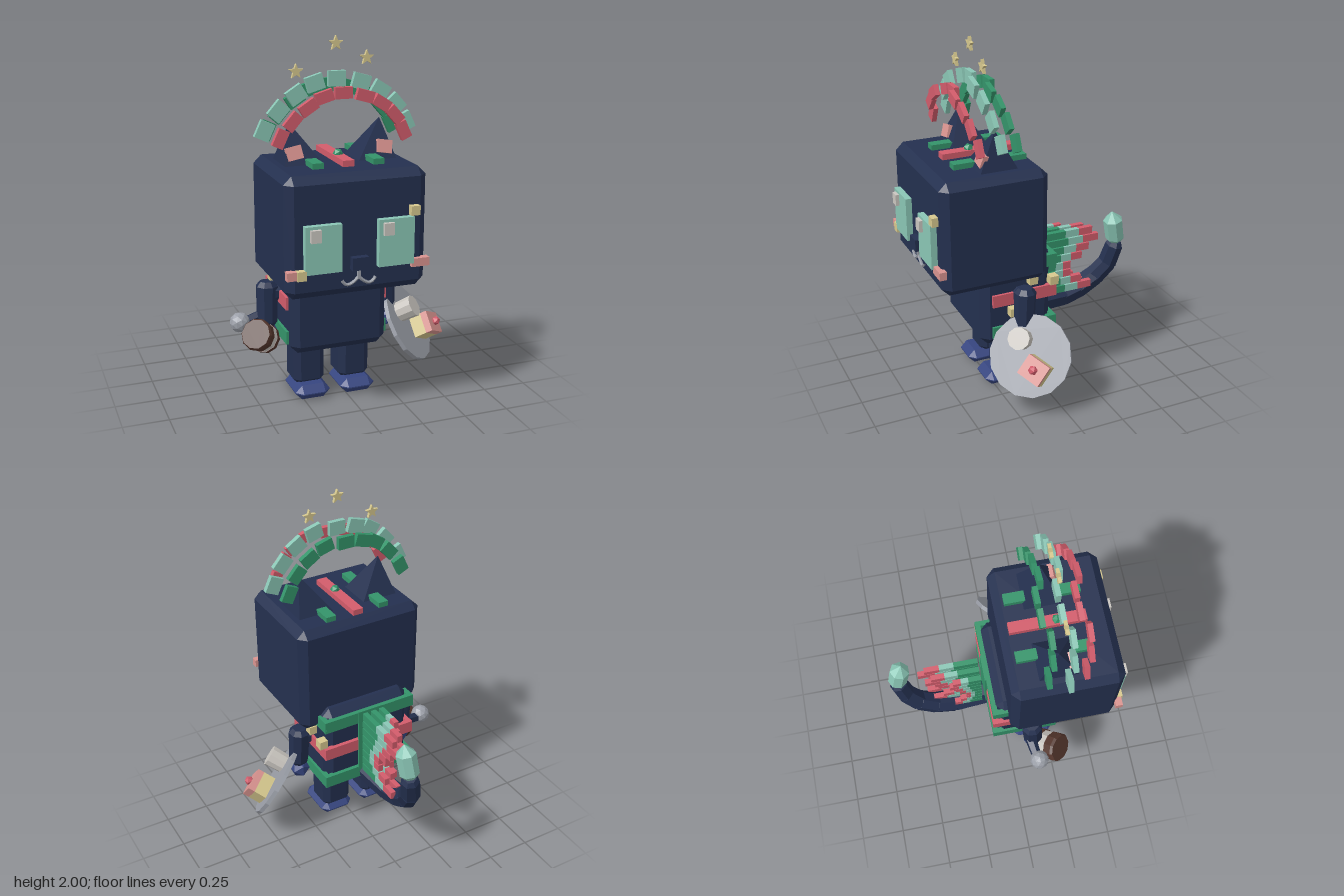
import * as THREE from 'three';
import { ConvexGeometry } from 'three/addons/geometries/ConvexGeometry.js';

const CX = -0.065; // symmetry plane of the figure

const paint = (name, color) => {
  const m = new THREE.MeshStandardMaterial({ color });
  m.name = name;
  return m;
};
const V = (x, y, z) => new THREE.Vector3(x, y, z);

// Box with every edge chamfered by b
function chamferBox(w, h, d, b) {
  const pts = [];
  for (const x of [-1, 1]) for (const y of [-1, 1]) for (const z of [-1, 1]) {
    const [X, Y, Z] = [w / 2, h / 2, d / 2];
    pts.push(V(x * X, y * (Y - b), z * (Z - b)), V(x * (X - b), y * Y, z * (Z - b)), V(x * (X - b), y * (Y - b), z * Z));
  }
  return new ConvexGeometry(pts);
}

// Faceted solid of stacked rings, each [radius, height]
function ringSolid(rings, sides) {
  const pts = [];
  for (const [r, y] of rings) for (let i = 0; i < sides; i++) {
    const a = (i + 0.5) / sides * Math.PI * 2;
    pts.push(V(r * Math.sin(a), y, r * Math.cos(a)));
  }
  return new ConvexGeometry(pts);
}

function flat(geo) {
  const g = geo.index ? geo.toNonIndexed() : geo;
  g.computeVertexNormals();
  return g;
}

export function createModel() {
  const root = new THREE.Group();
  root.name = 'figure';
  const navy = paint('navy', 0x24304f), blue = paint('blue', 0x36457f), mint = paint('mint', 0x8ac6b5);
  const green = paint('green', 0x34946a), red = paint('red', 0xd25c6b), yellow = paint('yellow', 0xd6c88e);
  const pink = paint('pink', 0xda9490), grey = paint('grey', 0x9b9fa8), cream = paint('cream', 0xcac6c0);
  const brown = paint('brown', 0x54362d);

  const add = (name, geo, mat, x = 0, y = 0, z = 0, parent = root) => {
    const m = new THREE.Mesh(geo, mat);
    m.name = name;
    m.position.set(x, y, z);
    parent.add(m);
    return m;
  };
  const box = (name, mat, w, h, d, x, y, z, parent) => add(name, new THREE.BoxGeometry(w, h, d), mat, x, y, z, parent);
  // Limb segment with chamfered ends between two points
  const limb = (name, mat, p, q, r0, r1 = r0, sides = 8) => {
    const L = p.distanceTo(q), c = r0 * 0.45;
    const geo = ringSolid([[r0 * 0.65, -L / 2 - c], [r0, -L / 2], [r1, L / 2], [r1 * 0.65, L / 2 + c]], sides);
    const m = add(name, geo, mat);
    m.position.copy(p).lerp(q, 0.5);
    m.quaternion.setFromUnitVectors(V(0, 1, 0), q.clone().sub(p).normalize());
    return m;
  };

  // Head and body
  add('head', chamferBox(0.765, 0.64, 0.61, 0.043), navy, CX, 1.035, 0.295);
  add('body', chamferBox(0.55, 0.55, 0.42, 0.045), navy, CX, 0.575, 0.135);

  for (const s of [-1, 1]) {
    const at = (d) => CX + s * d;
    // Legs and feet
    add('leg', chamferBox(0.18, 0.28, 0.185, 0.035), navy, at(0.132), 0.2, 0.135);
    add('foot', chamferBox(0.2, 0.082, 0.262, 0.038), blue, at(0.132), 0.041, 0.17);

    // Ears: square pyramids with the tip pulled outward
    const hx = 0.11, base = [[-hx, -hx], [hx, -hx], [hx, hx], [-hx, hx]].map(([x, z]) => V(x, -0.01, z));
    add('ear', new ConvexGeometry([...base, V(s * 0.05, 0.205, 0)]), navy, at(0.2), 1.355, 0.25);
    box('innerEar', pink, 0.083, 0.07, 0.03, at(0.248), 1.415, 0.325).rotation.set(-0.3, 0, -s * 0.17);
    box('headSideStripe', green, 0.06, 0.03, 0.415, at(0.165), 1.37, 0.253);

    // Eyes and cheeks
    box('eye', mint, 0.195, 0.25, 0.04, at(0.197), 0.985, 0.615);
    box('cheek', pink, 0.1, 0.045, 0.04, at(0.337), 0.858, 0.605);

    // Arms and hands
    limb('arm', navy, V(at(0.345), 0.64, 0.12), V(at(0.35), 0.44, 0.13), 0.062, 0.058);
    limb('shoulder', navy, V(at(0.26), 0.6, 0.12), V(at(0.33), 0.6, 0.12), 0.05);
    add('hand', flat(new THREE.IcosahedronGeometry(0.06, 0)), blue, at(0.345), 0.375, 0.13);
  }
  for (const x of [-0.307, 0.083]) box('eyeGlint', cream, 0.055, 0.065, 0.03, x, 1.062, 0.64);
  box('nose', navy, 0.088, 0.068, 0.045, CX, 0.89, 0.615);
  box('headCentreStripe', red, 0.062, 0.033, 0.42, CX, 1.371, 0.25);
  add('headGem', flat(new THREE.IcosahedronGeometry(0.028, 0)), green, CX, 1.39, 0.3);

  // Mouth: a stem and two curls
  box('mouthStem', grey, 0.016, 0.05, 0.02, CX, 0.83, 0.605);
  for (const s of [-1, 1]) {
    const pts = [[0, 0.815], [0.027, 0.79], [0.058, 0.777], [0.078, 0.785], [0.092, 0.805]];
    const curve = new THREE.CatmullRomCurve3(pts.map(([x, y]) => V(CX + s * x, y, 0.606)));
    add('mouthCurl', flat(new THREE.TubeGeometry(curve, 8, 0.009, 5)), grey);
  }

  // Small cubes scattered on the face and flanks
  for (const [x, y, z] of [[0.235, 1.14, 0.61], [-0.377, 0.858, 0.61], [0.233, 0.66, -0.07],
    [0.23, 0.685, 0.055], [0.23, 0.51, 0.17], [-0.368, 0.68, 0.1]]) box('accentCube', yellow, 0.05, 0.05, 0.05, x, y, z);

  // Bands wrapping the back and both flanks
  for (const [y, mat] of [[0.772, green], [0.585, red], [0.388, green]]) {
    box('backBand', mat, 0.57, 0.072, 0.03, CX, y, -0.083);
    for (const s of [-1, 1]) box('flankBand', mat, 0.03, 0.072, 0.385, CX + s * 0.275, y, 0.095);
  }

  // Quills on the back: three columns, each bar in three colours
  box('quillPlate', green, 0.155, 0.39, 0.012, CX, 0.62, -0.1);
  const reach = [0.315, 0.355, 0.295, 0.25, 0.178, 0.178, 0.248, 0.315];
  [[-0.12, 0.52], [-0.068, 0.9], [-0.015, 1]].forEach(([x, f]) => reach.forEach((r, i) => {
    let z = -0.125;
    for (const [mat, part] of [[green, 0.45], [mint, 0.27], [red, 0.28]]) {
      const d = r * f * part;
      box('quill', mat, 0.03, 0.043, d, x, 0.794 - i * 0.05, z - d / 2);
      z -= d;
    }
  }));

  // Tail
  const tail = [[-0.065, 0.37, -0.04], [-0.075, 0.36, -0.17], [-0.085, 0.355, -0.29], [-0.085, 0.385, -0.4],
    [-0.07, 0.45, -0.5], [-0.04, 0.54, -0.57], [-0.015, 0.66, -0.6]].map((p) => V(...p));
  for (let i = 0; i < tail.length - 1; i++)
    limb('tailSegment', navy, tail[i], tail[i + 1], 0.077 - i * 0.004, 0.074 - i * 0.004, 7);
  const tip = add('tailTip', ringSolid([[0.035, -0.1], [0.056, -0.075], [0.058, 0.05], [0.004, 0.105]], 7), mint, -0.002, 0.785, -0.585);
  tip.rotation.set(0.2, 0, -0.1);

  // Three arches of blocks above the head
  const sway = [-0.02, 0, 0.01, 0.018, -0.018, -0.015, 0.018, 0.01, -0.02];
  for (const [name, mat, R, h, w, z] of [['frontArchBlock', red, 0.37, 0.06, 0.095, 0.393],
    ['middleArchBlock', mint, 0.43, 0.08, 0.095, 0.295], ['rearArchBlock', green, 0.385, 0.07, 0.095, 0.195]]) {
    sway.forEach((dz, i) => {
      const a = THREE.MathUtils.degToRad(25 + i * 16.25);
      box(name, mat, w, h, 0.028, CX + R * Math.cos(a), 1.35 + R * Math.sin(a), z + dz).rotation.z = a - Math.PI / 2;
    });
  }

  // Stars
  const star = new THREE.Shape(Array.from({ length: 10 }, (_, i) => {
    const a = Math.PI / 2 + i * Math.PI / 5, r = i % 2 ? 0.017 : 0.04;
    return new THREE.Vector2(r * Math.cos(a), r * Math.sin(a));
  }));
  const starGeo = new THREE.ExtrudeGeometry(star, { depth: 0.018, bevelEnabled: false });
  for (const [x, y] of [[-0.285, 1.825], [-0.07, 1.96], [0.1, 1.88]]) add('star', starGeo, yellow, x, y, 0.268);

  // Tilted plate with a cup and a layered cake
  const plate = new THREE.Group();
  plate.name = 'plate';
  const up = V(0.66, 0.51, 0.55).normalize();
  const ax = V(0.74, -0.39, -0.54).addScaledVector(up, -V(0.74, -0.39, -0.54).dot(up)).normalize();
  plate.quaternion.setFromRotationMatrix(new THREE.Matrix4().makeBasis(ax, up, ax.clone().cross(up)));
  plate.position.set(0.42, 0.325, 0.153);
  root.add(plate);
  add('plateDisc', ringSolid([[0.23, -0.012], [0.23, 0.012]], 14), grey, 0, 0, 0, plate);
  add('plateCup', ringSolid([[0.058, 0], [0.062, 0.1]], 10), cream, -0.085, 0.012, -0.05, plate);
  box('cakeBase', yellow, 0.135, 0.075, 0.12, 0.08, 0.05, 0.04, plate);
  box('cakeTop', pink, 0.135, 0.04, 0.12, 0.08, 0.107, 0.04, plate);
  add('cakeBerry', flat(new THREE.IcosahedronGeometry(0.027, 0)), red, 0.08, 0.138, 0.04, plate);

  // Banded drum in the other hand, with a round bead on its handle
  const drum = new THREE.Group();
  drum.name = 'drum';
  drum.position.set(-0.475, 0.39, 0.22);
  drum.quaternion.setFromUnitVectors(V(0, 1, 0), V(-0.55, 0.5, 0.65).normalize());
  root.add(drum);
  add('drumHead', ringSolid([[0.085, 0.02], [0.088, 0.07], [0.08, 0.085]], 10), brown, 0, 0, 0, drum);
  add('drumBand', ringSolid([[0.078, -0.035], [0.08, 0.02]], 10), cream, 0, 0, 0, drum);
  add('drumBase', ringSolid([[0.07, -0.085], [0.082, -0.07], [0.082, -0.035]], 10), brown, 0, 0, 0, drum);
  limb('handle', navy, V(-0.43, 0.47, 0.11), V(-0.53, 0.45, 0.125), 0.035, 0.03, 6);
  add('bead', flat(new THREE.IcosahedronGeometry(0.056, 1)), grey, -0.572, 0.455, 0.138);

  return root;
}
